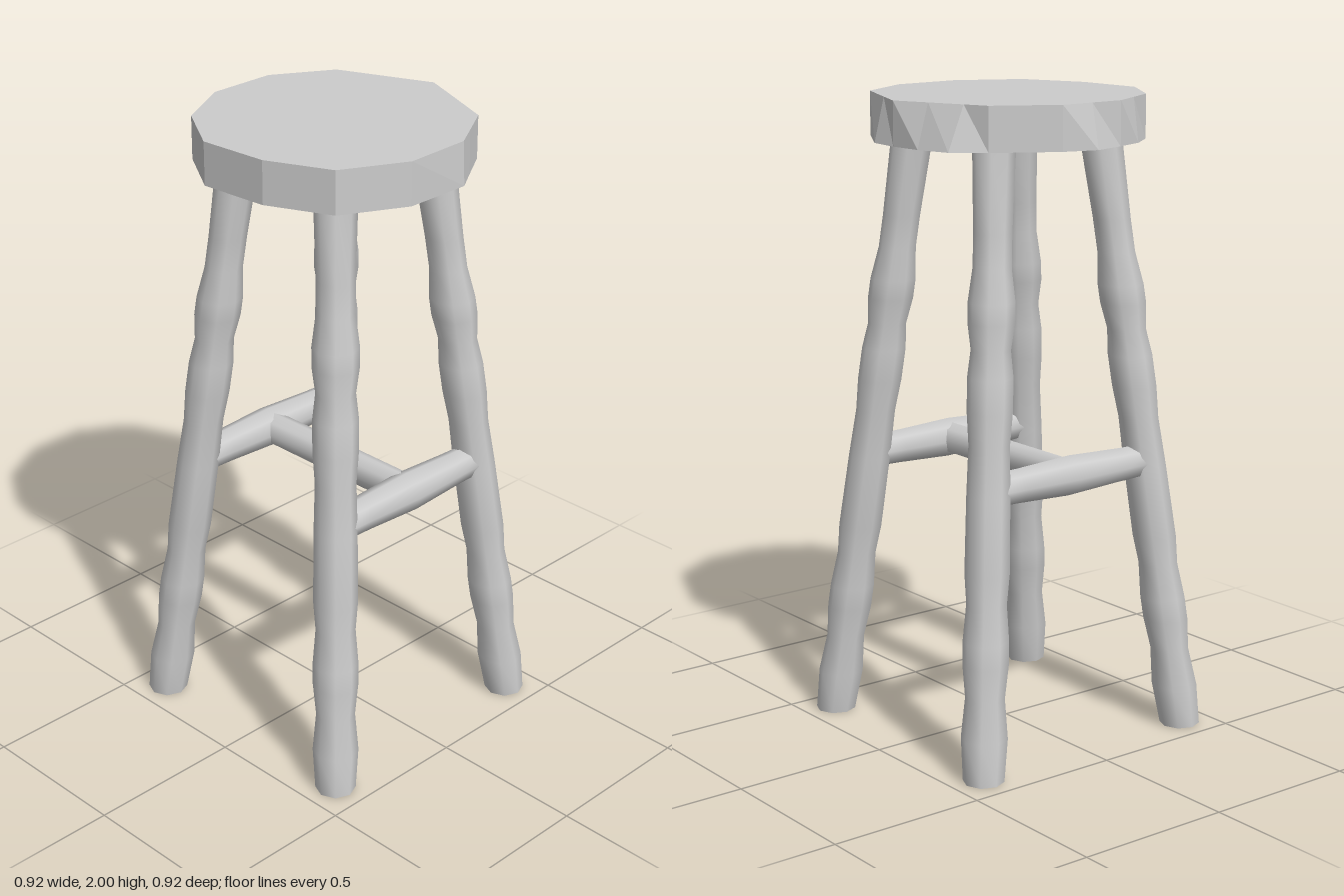
import * as THREE from 'three';
import { toCreasedNormals } from 'three/addons/utils/BufferGeometryUtils.js';

// Turned shaft along y from [radius, height] pairs, closed at both ends
function turned(profile) {
  const points = [
    [0, profile[0][1]], ...profile, [0, profile[profile.length - 1][1]],
  ].map(([r, y]) => new THREE.Vector2(r, y));
  return new THREE.LatheGeometry(points, 8);
}

// Uneven, hand-cut seat: each column is [bottom x, bottom z, top x, top z]
function seatGeometry() {
  const columns = [
    [0, -0.42, 0, -0.42], [0.11, -0.41, 0.11, -0.375], [0.29, -0.3, 0.29, -0.3],
    [0.36, -0.19, 0.357, -0.19], [0.412, -0.11, 0.405, -0.11], [0.412, 0.11, 0.412, 0.11],
    [0.31, 0.31, 0.31, 0.31], [0.11, 0.4, 0.11, 0.4], [-0.115, 0.417, -0.115, 0.417],
    [-0.3, 0.3, -0.3, 0.3], [-0.37, 0.21, -0.352, 0.205], [-0.405, 0.11, -0.405, 0.11],
    [-0.435, 0, -0.405, 0], [-0.405, -0.11, -0.405, -0.11], [-0.295, -0.295, -0.295, -0.295],
    [-0.22, -0.383, -0.22, -0.327], [-0.11, -0.412, -0.11, -0.373],
  ];
  const low = 1.865, high = 2;
  const positions = [];
  columns.forEach(([bx, bz, tx, tz], i) => {
    const [cx, cz, ux, uz] = columns[(i + 1) % columns.length];
    positions.push(
      bx, low, bz, tx, high, tz, ux, high, uz, // side
      bx, low, bz, ux, high, uz, cx, low, cz,
      0, high, 0, ux, high, uz, tx, high, tz, // top
      0, low, 0, bx, low, bz, cx, low, cz, // underside
    );
  });
  const geometry = new THREE.BufferGeometry();
  geometry.setAttribute('position', new THREE.Float32BufferAttribute(positions, 3));
  geometry.computeVertexNormals();
  return geometry;
}

export function createModel() {
  const model = new THREE.Group();
  model.name = 'stool';
  const wood = new THREE.MeshStandardMaterial({ color: 0xcccccc });
  wood.name = 'grey wood';

  function add(name, geometry) {
    const mesh = new THREE.Mesh(geometry, wood);
    mesh.name = name;
    model.add(mesh);
    return mesh;
  }

  add('seat', seatGeometry());

  // Splayed legs: a beaded turning sheared outward so the feet stay flat
  const legProfile = [
    [0.063, 0], [0.071, 0.13], [0.06, 0.25], [0.07, 0.35], [0.07, 0.42], [0.061, 0.53],
    [0.068, 0.62], [0.066, 0.85], [0.062, 1.0], [0.069, 1.1], [0.069, 1.2], [0.06, 1.28],
    [0.071, 1.36], [0.071, 1.42], [0.058, 1.52], [0.058, 1.62], [0.065, 1.87],
  ];
  for (const sx of [-1, 1]) {
    for (const sz of [-1, 1]) {
      const geometry = turned(legProfile);
      const p = geometry.attributes.position;
      for (let i = 0; i < p.count; i++) {
        const splay = 0.395 - 0.102 * p.getY(i);
        p.setX(i, p.getX(i) + sx * splay);
        p.setZ(i, p.getZ(i) + sz * splay);
      }
      add(`${sz > 0 ? 'front' : 'back'}${sx > 0 ? 'Left' : 'Right'}Leg`, toCreasedNormals(geometry, 1));
    }
  }

  // Side rungs, swelling in the middle, joined by a straight cross rung
  const sideProfile = [[0.052, -0.3], [0.054, -0.2], [0.063, 0], [0.054, 0.2], [0.052, 0.3]];
  for (const side of [-1, 1]) {
    const rung = add(side > 0 ? 'leftRung' : 'rightRung', toCreasedNormals(turned(sideProfile), 1));
    rung.rotation.x = Math.PI / 2;
    rung.position.set(side * 0.307, 0.863, 0);
  }
  const crossRung = add('crossRung', toCreasedNormals(turned([[0.051, -0.3], [0.051, 0.3]]), 1));
  crossRung.rotation.z = Math.PI / 2;
  crossRung.position.y = 0.865;

  return model;
}
